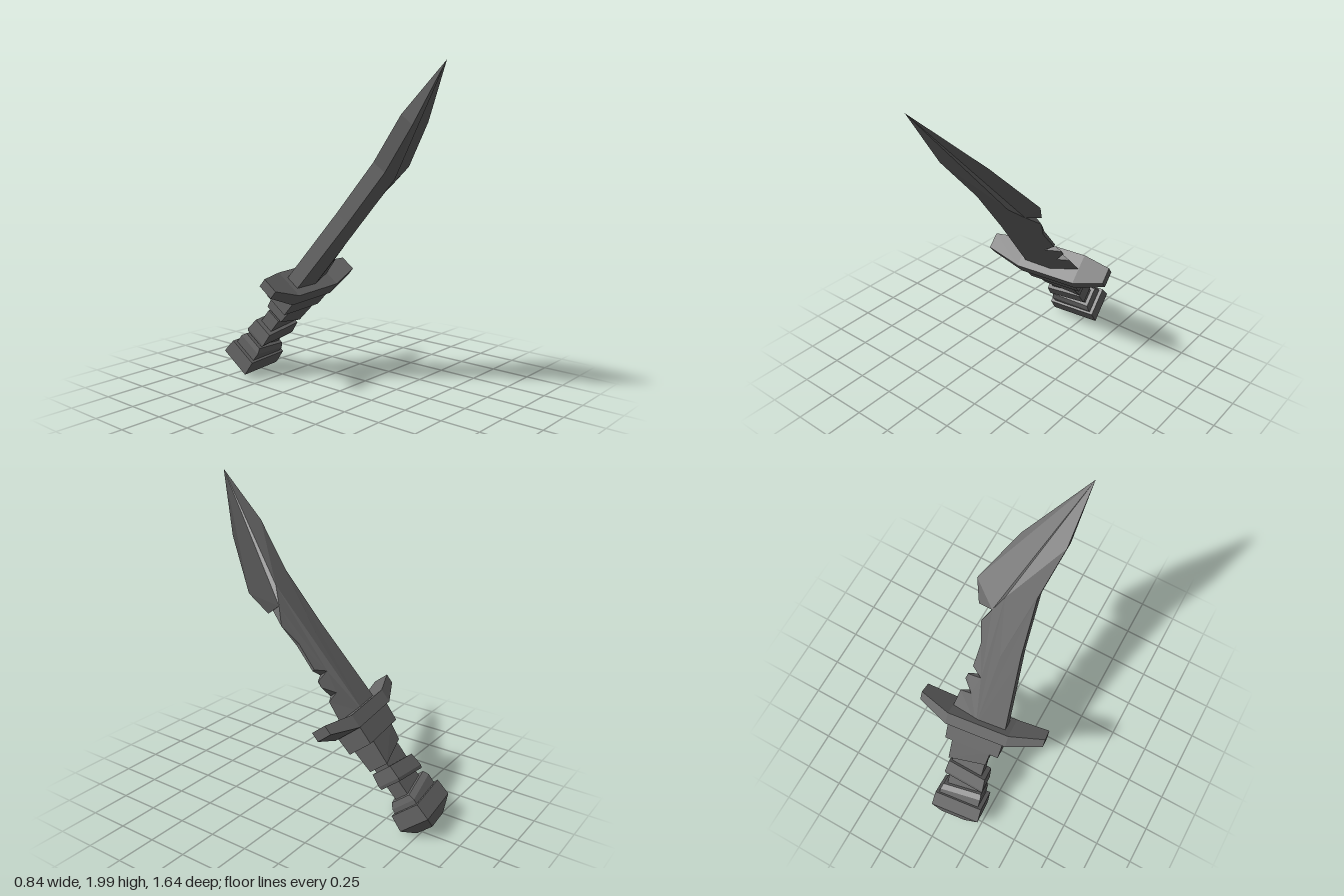
import * as THREE from 'three';

const steel = new THREE.MeshStandardMaterial({ color: 0x666666 });
steel.name = 'dark steel';
steel.flatShading = true;

function meshFrom(name, points) {
  const geometry = new THREE.BufferGeometry().setFromPoints(points);
  geometry.computeVertexNormals();
  const mesh = new THREE.Mesh(geometry, steel);
  mesh.name = name;
  return mesh;
}

// Skin four-cornered rings and cap both ends
function loft(name, rings) {
  const tris = [];
  for (let r = 0; r + 1 < rings.length; r++) {
    const lo = rings[r], hi = rings[r + 1];
    for (let i = 0; i < 4; i++) {
      const j = (i + 1) % 4;
      tris.push(lo[i], lo[j], hi[j], lo[i], hi[j], hi[i]);
    }
  }
  const a = rings[0], b = rings[rings.length - 1];
  tris.push(a[2], a[1], a[0], a[3], a[2], a[0], b[0], b[1], b[2], b[0], b[2], b[3]);
  return meshFrom(name, tris);
}

// Rectangular ring across the handle; slope tilts it sideways
function handleRing([y, cx, hx, hz, slope = 0]) {
  return [[-1, 1], [1, 1], [1, -1], [-1, -1]].map(([sx, sz]) =>
    new THREE.Vector3(cx + sx * hx, y + slope * sx * hx, sz * hz));
}

// Rectangular ring across the guard
function guardRing([x, lo, hi, hz]) {
  return [[lo, -hz], [hi, -hz], [hi, hz], [lo, hz]].map(([y, z]) => new THREE.Vector3(x, y, z));
}

// Blade points are [x, y, half thickness]
function makeBlade() {
  const spine = [[-0.137, -0.44, 0.047], [-0.096, 0.14, 0.047], [-0.09, 0.535, 0.047], [-0.166, 0.883, 0.045]];
  const ridge = [[0.053, -0.44, 0.052], [0.023, 0.09, 0.052], [0.09, 0.474, 0.05]];
  const tip = [-0.196, 1.28, 0];
  const edge = [
    [0.11, 0.86, 0], [0.287, 0.508, 0], [0.239, 0.352, 0], [0.148, 0.358, 0.028],
    [0.2, 0.25, 0], [0.164, 0.109, 0.01], [0.175, -0.068, 0.008], [0.104, -0.115, 0.03],
    [0.195, -0.136, 0.003], [0.203, -0.177, 0], [0.139, -0.251, 0.025], [0.215, -0.271, 0],
    [0.24, -0.44, 0],
  ];
  const tris = [];
  const at = (p, side) => new THREE.Vector3(p[0], p[1], side * p[2]);

  // Front and back faces: spine flat, then cutting bevel with the tip
  const panels = [[...spine, ...[...ridge].reverse()], [...ridge, spine[3], tip, ...edge]];
  for (const panel of panels) {
    const flat = panel.map((p) => new THREE.Vector2(p[0], p[1]));
    for (const face of THREE.ShapeUtils.triangulateShape(flat, [])) {
      let [a, b, c] = face.map((i) => panel[i]);
      if ((b[0] - a[0]) * (c[1] - a[1]) - (b[1] - a[1]) * (c[0] - a[0]) < 0) [b, c] = [c, b];
      tris.push(at(a, 1), at(b, 1), at(c, 1), at(a, -1), at(c, -1), at(b, -1));
    }
  }

  // Walls along the spine, the notches and the base
  const loop = [...spine, tip, ...edge, ridge[0]].reverse();
  loop.forEach((p, i) => {
    const q = loop[(i + 1) % loop.length];
    if (p[2] > 0) tris.push(at(p, 1), at(p, -1), at(q, -1));
    if (q[2] > 0) tris.push(at(p, 1), at(q, -1), at(q, 1));
  });
  return meshFrom('blade', tris);
}

export function createModel() {
  const dagger = new THREE.Group();
  dagger.name = 'dagger';
  dagger.add(makeBlade());

  // Cross guard with tapered, raised ends
  dagger.add(loft('guard', [
    [-0.39, -0.415, -0.355, 0.052], [-0.17, -0.485, -0.4, 0.1],
    [0.235, -0.485, -0.4, 0.1], [0.44, -0.415, -0.355, 0.052],
  ].map(guardRing)));

  // Handle parts: [y, centre x, half width, half depth, slope], bottom to top
  const handle = {
    collar: [[-0.6, 0.035, 0.18, 0.085], [-0.48, 0.035, 0.185, 0.09]],
    upperGrip: [[-0.73, 0.042, 0.122, 0.068, -0.22], [-0.59, 0.04, 0.13, 0.08]],
    gripCore: [[-1.06, 0.025, 0.1, 0.046], [-0.72, 0.035, 0.108, 0.05]],
    gripRing: [[-0.905, 0.025, 0.133, 0.073, 0.17], [-0.885, 0.025, 0.137, 0.078, 0.17],
      [-0.8, 0.025, 0.13, 0.07, 0.17]],
    lowerRing: [[-1.06, 0.022, 0.138, 0.085], [-1.0, 0.022, 0.138, 0.085, -0.12],
      [-0.965, 0.022, 0.13, 0.068, -0.12]],
    pommel: [[-1.218, 0.035, 0.085, 0.062], [-1.15, 0.02, 0.165, 0.108], [-1.045, 0.02, 0.163, 0.1]],
  };
  for (const [name, rings] of Object.entries(handle)) dagger.add(loft(name, rings.map(handleRing)));

  // Lean the dagger forward and turn it slightly
  dagger.rotation.set(0.675, 0.12, 0, 'YXZ');
  dagger.position.set(0, 1, -0.01);

  const model = new THREE.Group();
  model.name = 'leaningDagger';
  model.add(dagger);
  return model;
}
